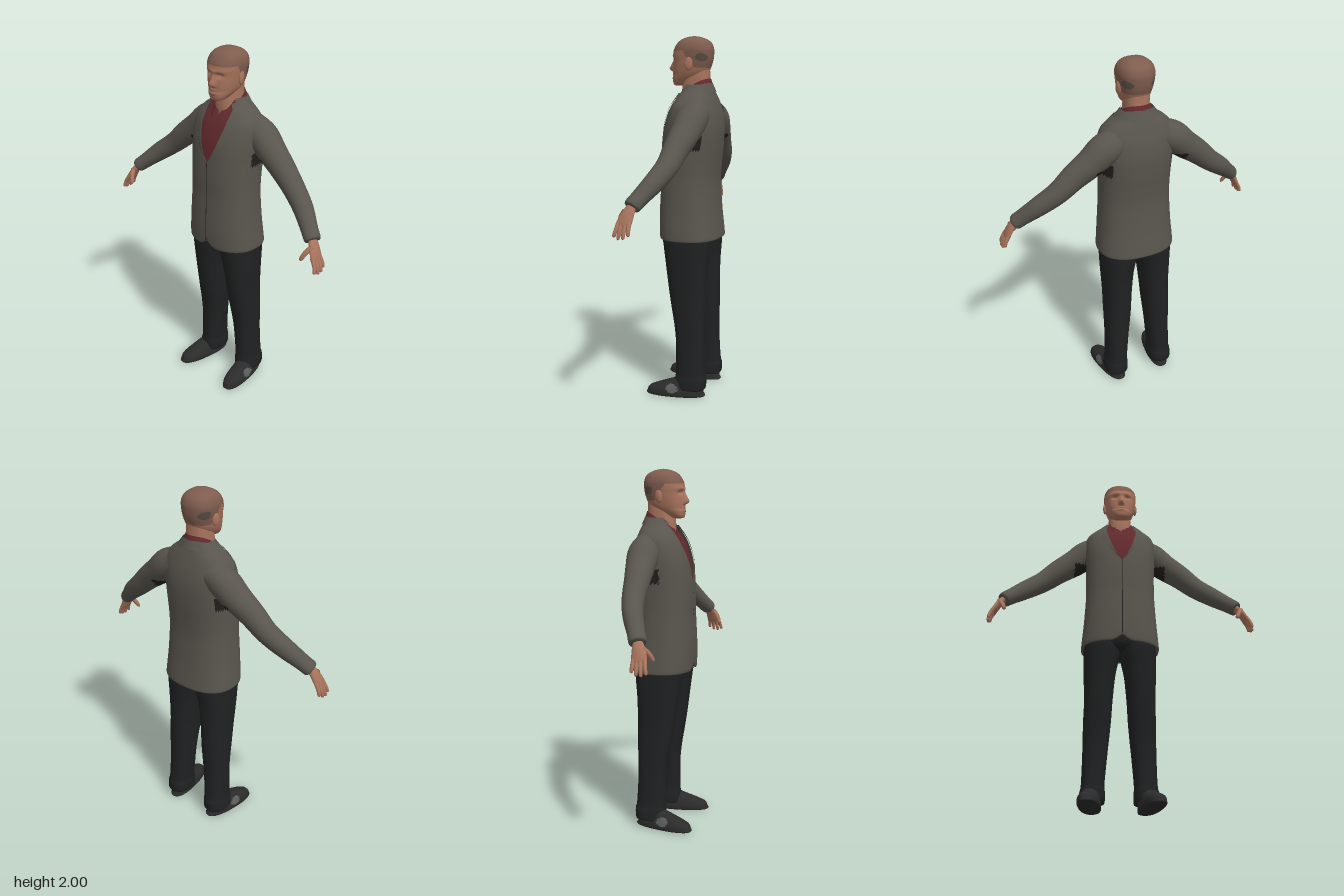
import * as THREE from 'three';
import { mergeVertices } from 'three/addons/utils/BufferGeometryUtils.js';

const mat = (name, color) => {
  const m = new THREE.MeshStandardMaterial({ color, side: THREE.DoubleSide });
  m.name = name;
  return m;
};

// Smooth surface from a rule fn(u, v) -> [x, y, z], u and v in 0..1
function surface(fn, nu, nv) {
  const pos = [], idx = [];
  for (let i = 0; i <= nv; i++) for (let j = 0; j <= nu; j++) pos.push(...fn(j / nu, i / nv));
  for (let i = 0; i < nv; i++) for (let j = 0; j < nu; j++) {
    const a = i * (nu + 1) + j, d = a + nu + 1;
    idx.push(a, a + 1, d + 1, a, d + 1, d);
  }
  let g = new THREE.BufferGeometry();
  g.setAttribute('position', new THREE.Float32BufferAttribute(pos, 3));
  g.setIndex(idx);
  g = mergeVertices(g, 1e-5);
  g.computeVertexNormals();
  return g;
}

// Sort the faces into material groups by a rule on their centres
function split(g, count, rule) {
  const p = g.attributes.position, ix = g.index.array;
  const sets = Array.from({ length: count }, () => []);
  for (let i = 0; i < ix.length; i += 3) {
    const t = [ix[i], ix[i + 1], ix[i + 2]];
    const mid = f => t.reduce((s, k) => s + f(k), 0) / 3;
    sets[rule(mid(k => p.getX(k)), mid(k => p.getY(k)), mid(k => p.getZ(k)))].push(...t);
  }
  g.setIndex(sets.flat());
  let start = 0;
  sets.forEach((s, i) => { g.addGroup(start, s.length, i); start += s.length; });
  return g;
}

function mirrored(g) {
  const m = g.clone().scale(-1, 1, 1), ix = m.index.array;
  for (let i = 0; i < ix.length; i += 3) [ix[i], ix[i + 1]] = [ix[i + 1], ix[i]];
  m.computeVertexNormals();
  return m;
}

// Catmull-Rom sample of a table of rows at row position v
function sample(rows, v) {
  const n = rows.length - 1, i = Math.min(n - 1, Math.floor(v)), t = v - i;
  const [a, b, c, d] = [rows[Math.max(0, i - 1)], rows[i], rows[i + 1], rows[Math.min(n, i + 2)]];
  return b.map((q, k) => q + 0.5 * t * (c[k] - a[k] + t * (2 * a[k] - 5 * q + 4 * c[k] - d[k]
    + t * (3 * (q - c[k]) + d[k] - a[k]))));
}

const N = 2.4; // roundness of the body cross-sections
const pw = s => Math.sign(s) * Math.abs(s) ** (2 / N);

// Point on a horizontal section [y, halfWidth, zFront, zBack, centreX]
function onRing([y, rx, zf, zb, cx = 0], phi) {
  return [cx + Math.max(0, rx) * pw(Math.sin(phi)), y, (zf + zb) / 2 + (zf - zb) / 2 * pw(Math.cos(phi))];
}
const loft = (rows, nu = 40, per = 4) => surface(
  (u, v) => onRing(sample(rows, v * (rows.length - 1)), u * Math.PI * 2), nu, (rows.length - 1) * per);

// Limb along a path, rows [x, y, z, radius along z, radius across]
function limb(rows, nu = 24, per = 5) {
  const curve = new THREE.CatmullRomCurve3(rows.map(r => new THREE.Vector3(r[0], r[1], r[2])));
  return surface((u, v) => {
    const r = sample(rows, v * (rows.length - 1)), c = curve.getPoint(v), t = curve.getTangent(v);
    const s = new THREE.Vector3(0, 0, 1).addScaledVector(t, -t.z).normalize();
    const n = t.clone().cross(s), a = u * Math.PI * 2;
    c.addScaledVector(s, Math.max(0, r[3]) * Math.cos(a)).addScaledVector(n, Math.max(0, r[4]) * Math.sin(a));
    return c.toArray();
  }, nu, (rows.length - 1) * per);
}

const lin = pts => y => {
  if (y <= pts[0][0]) return pts[0][1];
  for (let i = 1; i < pts.length; i++) if (y <= pts[i][0]) {
    const [a, b] = [pts[i - 1], pts[i]];
    return a[1] + (b[1] - a[1]) * (y - a[0]) / (b[0] - a[0]);
  }
  return pts[pts.length - 1][1];
};
const bell = (a, w) => Math.exp(-((a / w) ** 2));

const TORSO = [
  [0.91, 0.195, 0.13, -0.165], [0.895, 0.218, 0.15, -0.185], [0.95, 0.216, 0.155, -0.182],
  [1.05, 0.207, 0.155, -0.172], [1.2, 0.198, 0.148, -0.163], [1.3, 0.197, 0.148, -0.168],
  [1.4, 0.2, 0.143, -0.178], [1.5, 0.205, 0.13, -0.182], [1.58, 0.205, 0.105, -0.172],
  [1.63, 0.195, 0.08, -0.158], [1.67, 0.16, 0.055, -0.145], [1.7, 0.12, 0.04, -0.135],
  [1.74, 0.085, 0.02, -0.125]];

function torsoAt(y) {
  let lo = 1, hi = TORSO.length - 1;
  for (let i = 0; i < 30; i++) {
    const m = (lo + hi) / 2;
    if (sample(TORSO, m)[0] < y) lo = m; else hi = m;
  }
  return sample(TORSO, lo);
}

// Thin strip lying on the front of the torso
const frontStrip = (y0, y1, inner, outer, lift, nu = 6) => surface((u, v) => {
  const y = y0 + (y1 - y0) * v, [, rx, zf, zb] = torsoAt(y);
  const x = Math.min(inner(y) + (outer(y) - inner(y)) * u, rx * 0.97);
  const z = (zf + zb) / 2 + (zf - zb) / 2 * (1 - Math.abs(x / rx) ** N) ** (1 / N);
  return [x, y, z + lift * (1 - u / 2)];
}, nu, 30);

// Collar band around the neck, open at the front
const collar = (open, top, drop, rTop, rBot) => surface((u, v) => {
  const phi = open + u * 2 * (Math.PI - open), f = (1 + Math.cos(phi)) / 2;
  const r = k => rBot[k] + (rTop[k] - rBot[k]) * v;
  return [r(0) * Math.sin(phi), top(f) - drop(f) * (1 - v), -0.038 + r(Math.cos(phi) > 0 ? 1 : 2) * Math.cos(phi)];
}, 48, 5);

export function createModel() {
  const skin = mat('skin', 0xa8745d), hair = mat('cropped hair', 0x7f5c4e), grey = mat('grey hair', 0x584c45);
  const cloth = mat('jacket cloth', 0x59554e), shade = mat('dark lining', 0x211f1d), red = mat('shirt', 0x632a2e);
  const black = mat('trousers', 0x202122), leather = mat('shoe leather', 0x2b2b2c), panel = mat('shoe panel', 0x5c5d5e);
  const model = new THREE.Group();
  const add = (name, g, m) => {
    const mesh = new THREE.Mesh(g, m);
    mesh.name = name;
    model.add(mesh);
  };
  const pair = (name, g, m) => { add(name + 'Left', g, m); add(name + 'Right', mirrored(g), m); };

  // Jacket body with a V opening and a small notch at the hem
  const opening = lin([[1.41, 0], [1.43, 0.022], [1.5, 0.055], [1.6, 0.083], [1.7, 0.088], [1.74, 0.07]]);
  const body = surface((u, v) => {
    const row = sample(TORSO, v * (TORSO.length - 1));
    const phi0 = Math.asin(Math.min(0.95, (opening(row[0]) / row[1]) ** (N / 2)));
    const p = onRing(row, phi0 + u * 2 * (Math.PI - phi0));
    if (p[2] > 0) p[1] += 0.035 * bell(p[0], 0.03) * Math.max(0, 1 - (row[0] - 0.895) / 0.08);
    return p;
  }, 72, 72);
  add('jacketBody', split(body, 2, (x, y, z) =>
    Math.abs(x) > 0.17 && y > 1.39 && y < 1.47 && z > -0.13 && z < 0.01 ? 1 : 0), [cloth, shade]);
  const lapelEdge = lin([[1.41, 0.008], [1.5, 0.083], [1.6, 0.122], [1.65, 0.132], [1.69, 0.112]]);
  pair('lapel', frontStrip(1.41, 1.695, opening, lapelEdge, 0.009), cloth);
  add('jacketSeam', frontStrip(0.935, 1.41, () => -0.002, () => 0.002, 0.002, 1), shade);
  add('jacketCollar', collar(0.8, f => 1.75 - 0.04 * f, () => 0.045, [0.09, 0.085, 0.087], [0.118, 0.1, 0.107]), cloth);

  // Sleeves
  const sleeve = limb([[0.12, 1.585, -0.075, 0.08, 0.08], [0.2, 1.545, -0.075, 0.085, 0.085],
    [0.27, 1.485, -0.068, 0.078, 0.078], [0.36, 1.415, -0.055, 0.067, 0.07], [0.45, 1.335, -0.042, 0.059, 0.06],
    [0.54, 1.265, -0.01, 0.053, 0.054], [0.62, 1.195, 0.035, 0.046, 0.044], [0.665, 1.155, 0.06, 0.042, 0.037],
    [0.669, 1.151, 0.062, 0, 0]], 32, 6);
  pair('sleeve', split(sleeve, 2, (x, y) => x < 0.265 && y < 1.455 ? 1 : 0), [cloth, shade]);

  // Hands
  pair('palm', limb([[0.655, 1.165, 0.055, 0.024, 0.02], [0.685, 1.125, 0.07, 0.034, 0.018],
    [0.705, 1.085, 0.08, 0.04, 0.015], [0.713, 1.066, 0.083, 0.032, 0.011], [0.715, 1.06, 0.084, 0, 0]]), skin);
  for (let i = 0; i < 4; i++) {
    const z = 0.053 + 0.019 * i, tip = 0.05 + 0.025 * i, len = [0.8, 0.97, 1, 0.88][i];
    pair('finger' + (i + 1), limb([[0.705, 1.085, z, 0.011, 0.011],
      [0.705 + 0.025 * len, 1.085 - 0.045 * len, (z + tip) / 2, 0.0105, 0.01],
      [0.705 + 0.034 * len, 1.085 - 0.078 * len, tip, 0.008, 0.008],
      [0.705 + 0.035 * len, 1.085 - 0.085 * len, tip, 0, 0]], 12, 4), skin);
  }
  pair('thumb', limb([[0.685, 1.135, 0.088, 0.014, 0.014], [0.664, 1.1, 0.118, 0.013, 0.013],
    [0.651, 1.068, 0.132, 0.01, 0.01], [0.648, 1.058, 0.134, 0, 0]], 12, 4), skin);

  // Shirt front and folded collar
  const shirtGap = lin([[1.65, 0], [1.72, 0.045]]);
  add('shirt', surface((u, v) => {
    const [y, rx, zf, zb] = torsoAt(1.36 + 0.37 * v);
    const phi0 = Math.asin((shirtGap(y) / rx) ** (N / 2));
    return onRing([y, rx * 0.95, zf - 0.014, zb + 0.02], phi0 + u * 2 * (Math.PI - phi0));
  }, 56, 24), red);
  add('shirtCollar', collar(0.4, f => 1.772 - 0.1 * f ** 1.5, f => 0.03 + 0.02 * f,
    [0.075, 0.092, 0.08], [0.09, 0.118, 0.09]), red);

  // Trousers
  pair('trouserLeg', loft([[0.06, 0.05, 0.01, -0.11, 0.145], [0.045, 0.067, 0.03, -0.14, 0.145],
    [0.1, 0.067, 0.032, -0.145, 0.143], [0.14, 0.062, 0.028, -0.137, 0.141], [0.3, 0.067, 0.03, -0.13, 0.132],
    [0.4, 0.072, 0.04, -0.132, 0.127], [0.5, 0.076, 0.058, -0.135, 0.122], [0.6, 0.078, 0.075, -0.135, 0.118],
    [0.75, 0.088, 0.095, -0.14, 0.113], [0.85, 0.099, 0.11, -0.15, 0.104], [0.9, 0.102, 0.115, -0.15, 0.102],
    [1, 0.1, 0.11, -0.14, 0.1]]), black);
  add('trouserSeat', loft([[0.865, 0, -0.02, -0.02], [0.872, 0.1, 0.05, -0.1], [0.9, 0.19, 0.11, -0.15],
    [1, 0.19, 0.115, -0.145]]), black);

  // Shoes, toes turned out, with a panel on the outer side
  const shoe = split(loft([[0, 0, 0.03, 0.03], [0, 0.052, 0.183, -0.13], [0.02, 0.06, 0.19, -0.132],
    [0.04, 0.057, 0.18, -0.13], [0.055, 0.053, 0.15, -0.125], [0.075, 0.047, 0.095, -0.12],
    [0.095, 0.042, 0.04, -0.115], [0.12, 0.04, 0.01, -0.11]], 72, 5), 2,
    (x, y, z) => x > 0.01 && ((z - 0.04) / 0.033) ** 2 + ((y - 0.05) / 0.026) ** 2 < 1 ? 1 : 0);
  pair('shoe', shoe.rotateY(0.15).translate(0.158, 0, 0), [leather, panel]);

  // Neck, head and ears
  add('neck', loft([[1.6, 0.07, 0.035, -0.115], [1.68, 0.068, 0.042, -0.115], [1.74, 0.066, 0.038, -0.112],
    [1.79, 0.066, 0.03, -0.111], [1.84, 0.065, 0.02, -0.11]]), skin);
  const HEAD = [[1.733, 0, 0.06, 0.06], [1.736, 0.028, 0.085, 0.03], [1.747, 0.046, 0.093, 0],
    [1.77, 0.063, 0.096, -0.05], [1.79, 0.073, 0.092, -0.085], [1.81, 0.08, 0.093, -0.105],
    [1.84, 0.087, 0.091, -0.118], [1.87, 0.092, 0.089, -0.127], [1.9, 0.096, 0.09, -0.131],
    [1.93, 0.097, 0.084, -0.131], [1.96, 0.088, 0.067, -0.12], [1.98, 0.069, 0.045, -0.098],
    [1.994, 0.04, 0.01, -0.062], [2, 0, -0.025, -0.025]];
  const nose = lin([[1.805, 0], [1.817, 0.75], [1.828, 1], [1.85, 0.6], [1.88, 0.2], [1.9, 0]]);
  const head = surface((u, v) => {
    const p = onRing(sample(HEAD, v * (HEAD.length - 1)), u * Math.PI * 2), [x, y, z] = p;
    const front = Math.min(1, Math.max(0, (z - 0.02) / 0.03));
    p[2] += front * (0.031 * bell(x, 0.014) * nose(y)
      - 0.013 * bell(Math.abs(x) - 0.036, 0.017) * bell(y - 1.872, 0.012)
      + 0.005 * bell(x, 0.06) * bell(y - 1.893, 0.01)
      + 0.006 * bell(x, 0.024) * (bell(y - 1.794, 0.006) + bell(y - 1.777, 0.007)));
    return p;
  }, 96, 78);
  add('head', split(head, 3, (x, y, z) => {
    if (Math.abs(x) > 0.035 && ((z + 0.09) / 0.03) ** 2 + ((y - 1.885) / 0.022) ** 2 < 1) return 2;
    return y > 1.83 + 0.09 * Math.min(1, Math.max(0, (z + 0.05) / 0.06)) ? 1 : 0;
  }), [skin, hair, grey]);
  pair('ear', mergeVertices(new THREE.SphereGeometry(1, 20, 14).deleteAttribute('uv'))
    .scale(0.011, 0.037, 0.022).rotateX(-0.15).rotateY(0.25).translate(0.091, 1.852, -0.025), skin);

  return model;
}
